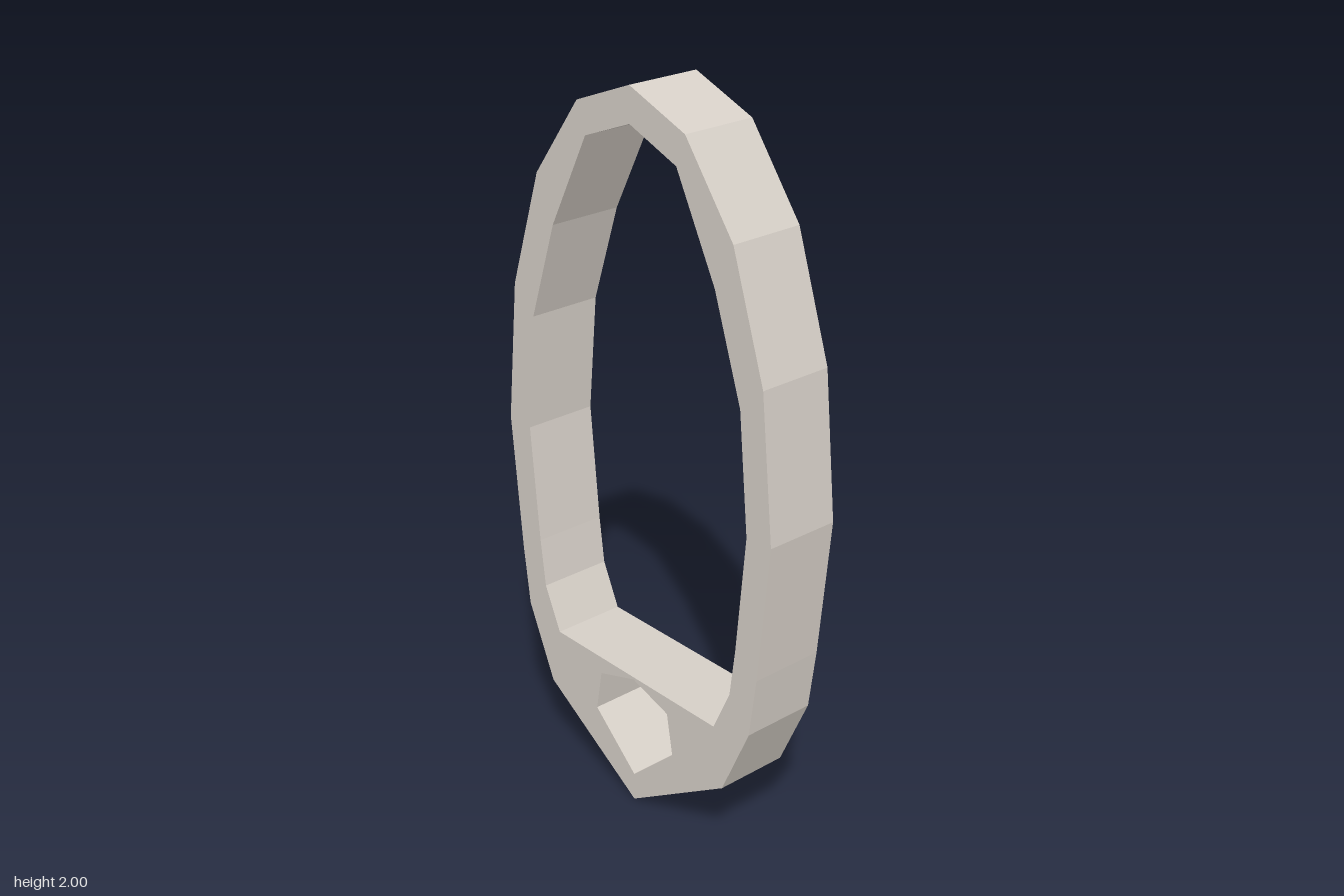
import * as THREE from 'three';

// Closed counter-clockwise outline mirrored about the centre line; half runs from top to bottom
function mirrored(PathType, half) {
  const left = half.map(([u, v]) => new THREE.Vector2(-u, v));
  const right = half.filter(([u]) => u > 0).reverse().map(([u, v]) => new THREE.Vector2(u, v));
  return new PathType([...left, ...right]);
}

export function createModel() {
  const group = new THREE.Group();
  group.name = 'ovalFrame';

  const stone = new THREE.MeshStandardMaterial({ color: 0xd6cfc7, flatShading: true });
  stone.name = 'warm grey';

  // Faceted oval with a pointed foot
  const outline = mirrored(THREE.Shape, [
    [0, 2], [0.195, 1.925], [0.36, 1.705], [0.467, 1.38], [0.506, 0.985],
    [0.468, 0.6], [0.445, 0.43], [0.35, 0.22], [0, 0],
  ]);

  // Large opening with a flat sill, and the small gem-shaped hole below it
  outline.holes.push(
    mirrored(THREE.Path, [
      [0, 1.907], [0.165, 1.843], [0.3, 1.582], [0.392, 1.308], [0.422, 0.98],
      [0.39, 0.65], [0.372, 0.515], [0.315, 0.392],
    ]),
    mirrored(THREE.Path, [[0, 0.385], [0.135, 0.342], [0.156, 0.222], [0, 0.082]]),
  );

  // Extrude across the width and turn the outline into the side plane
  const width = 0.21;
  const geometry = new THREE.ExtrudeGeometry(outline, { depth: width, bevelEnabled: false });
  geometry.translate(0, 0, -width / 2);
  geometry.rotateY(-Math.PI / 2);

  const frame = new THREE.Mesh(geometry, stone);
  frame.name = 'frame';
  group.add(frame);
  return group;
}
